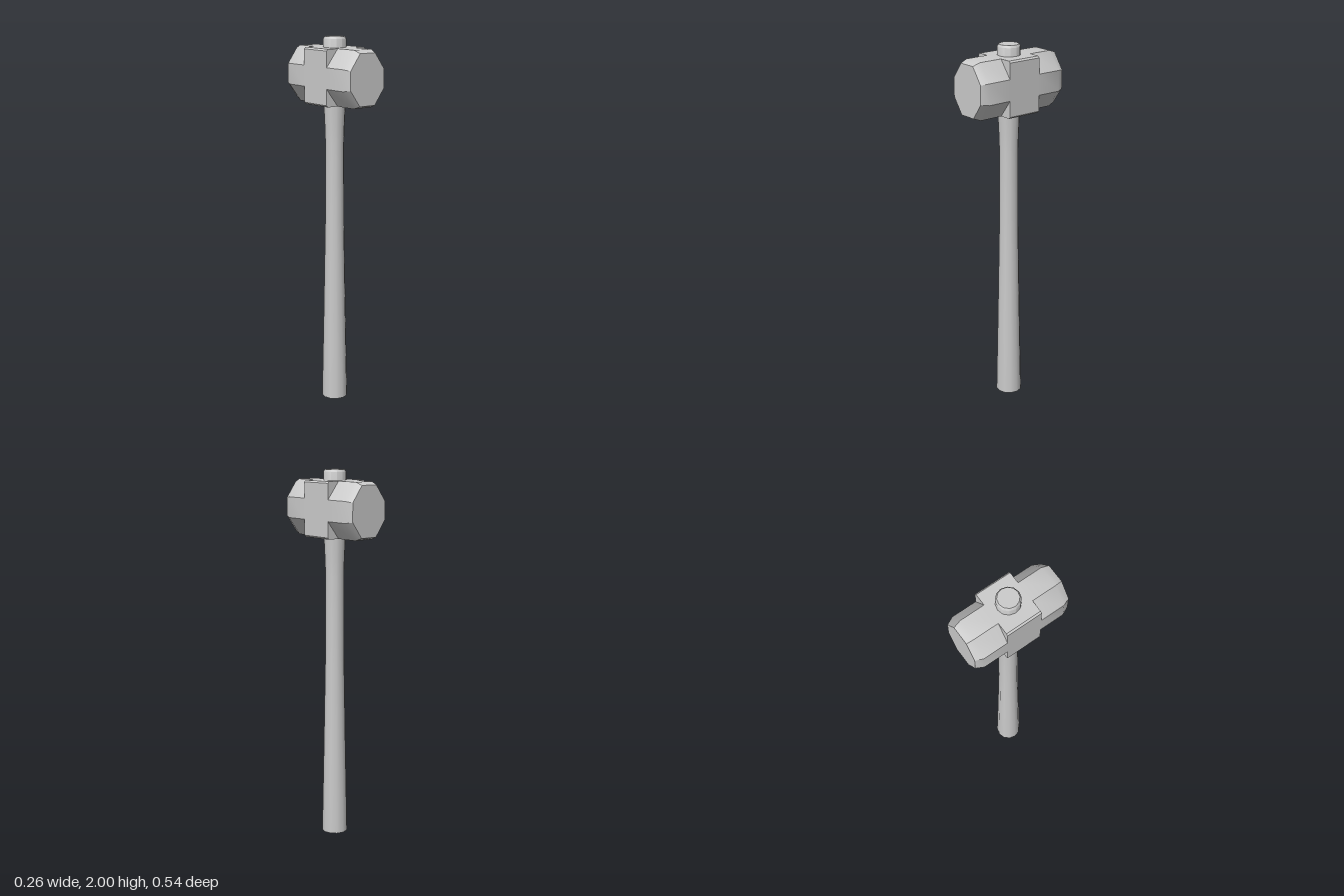
import * as THREE from 'three';
import { toCreasedNormals } from 'three/addons/utils/BufferGeometryUtils.js';

const HEAD_Y = 1.796;
const material = new THREE.MeshStandardMaterial({ color: 0xcccccc });

function part(name, geometry, parent) {
  const mesh = new THREE.Mesh(geometry, material);
  mesh.name = name;
  parent.add(mesh);
  return mesh;
}

// Counter-clockwise rectangle with cut corners; fx and fy are half the flat lengths
function cutRect(hx, hy, fx, fy) {
  return [[hx, -fy], [hx, fy], [fx, hy], [-fx, hy], [-hx, fy], [-hx, -fy], [-fx, -hy], [fx, -hy]];
}

// Closed loft through sections ordered by rising z
function loft(sections, crease) {
  const pos = [];
  const n = sections[0].points.length;
  const at = (s, i) => [...sections[s].points[i % n], sections[s].z];
  for (let s = 0; s < sections.length - 1; s++) {
    for (let i = 0; i < n; i++) {
      const a = at(s, i), b = at(s, i + 1), c = at(s + 1, i + 1), d = at(s + 1, i);
      pos.push(...a, ...b, ...c, ...a, ...c, ...d);
    }
  }
  const last = sections.length - 1;
  for (let i = 1; i < n - 1; i++) {
    pos.push(...at(0, 0), ...at(0, i + 1), ...at(0, i));
    pos.push(...at(last, 0), ...at(last, i), ...at(last, i + 1));
  }
  const g = new THREE.BufferGeometry();
  g.setAttribute('position', new THREE.Float32BufferAttribute(pos, 3));
  return toCreasedNormals(g, crease);
}

export function createModel() {
  const model = new THREE.Group();
  model.name = 'sledgehammer';

  // Handle: flared at the butt and below the head, running through to a bevelled tip
  const profile = [
    [0, 0], [0.071, 0], [0.071, 0.01], [0.061, 0.5], [0.052, 1], [0.05, 1.43],
    [0.053, 1.53], [0.058, 1.64], [0.061, 1.7], [0.061, 1.988], [0.053, 2], [0, 2],
  ].map(([r, y]) => new THREE.Vector2(r, y));
  part('handle', toCreasedNormals(new THREE.LatheGeometry(profile, 12), 0.65), model);

  const head = new THREE.Group();
  head.name = 'head';
  head.position.y = HEAD_Y;
  model.add(head);

  // Central block with narrow cut edges
  const block = cutRect(0.128, 0.148, 0.119, 0.139);
  part('headBlock', loft([{ z: -0.096, points: block }, { z: 0.096, points: block }], 0.3), head);

  // Octagonal striking ends, bevelled towards the face
  const body = cutRect(0.128, 0.148, 0.056, 0.055);
  const face = cutRect(0.11, 0.133, 0.049, 0.049);
  const end = loft([
    { z: 0.09, points: body }, { z: 0.228, points: body }, { z: 0.268, points: face },
  ], 0.56);
  part('frontStrikingEnd', end, head);
  part('backStrikingEnd', end, head).rotation.y = Math.PI;

  return model;
}
